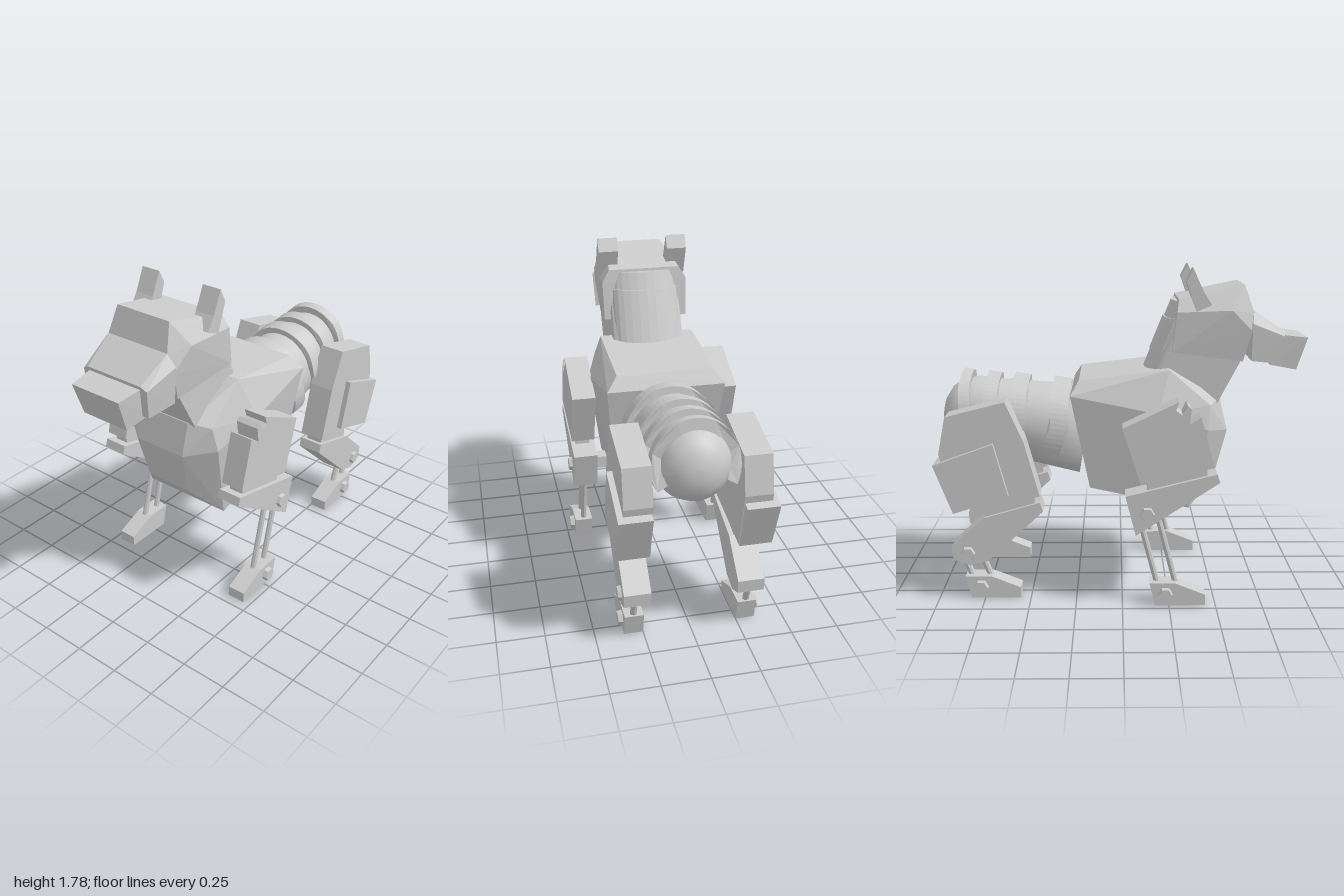
import * as THREE from 'three';
import { ConvexGeometry } from 'three/addons/geometries/ConvexGeometry.js';

const flat = new THREE.MeshStandardMaterial({ color: 0xcccccc, flatShading: true });
const smooth = new THREE.MeshStandardMaterial({ color: 0xcccccc });

export function createModel() {
  const model = new THREE.Group();
  model.name = 'robotHound';

  const add = (name, geometry, material = flat) => {
    const mesh = new THREE.Mesh(geometry, material);
    mesh.name = name;
    model.add(mesh);
    return mesh;
  };

  // Convex block from half its corners (x, y, z), mirrored across x = 0
  const block = (name, half) => add(name, new ConvexGeometry(
    half.flatMap(([x, y, z]) => [new THREE.Vector3(x, y, z), new THREE.Vector3(-x, y, z)])));

  // Side outline (z, y) extruded from x0 to x1
  const slab = (name, outline, x0, x1) => {
    const shape = new THREE.Shape(outline.map(([z, y]) => new THREE.Vector2(z, y)));
    const g = new THREE.ExtrudeGeometry(shape, { depth: x1 - x0, bevelEnabled: false });
    g.rotateY(-Math.PI / 2).translate(x1, 0, 0);
    return add(name, g);
  };
  // The same slab on the left and right
  const pair = (name, outline, x0, x1) => {
    slab(name + 'Left', outline, x0, x1);
    slab(name + 'Right', outline, -x1, -x0);
  };

  const rod = (name, a, b, radius, sides = 8) => {
    const p = new THREE.Vector3(...a), q = new THREE.Vector3(...b);
    const mesh = add(name, new THREE.CylinderGeometry(radius, radius, p.distanceTo(q), sides));
    mesh.position.copy(p).add(q).multiplyScalar(0.5);
    mesh.quaternion.setFromUnitVectors(new THREE.Vector3(0, 1, 0), q.sub(p).normalize());
  };

  // Hexagonal bolt heads through the sides
  const bolts = (name, z, y, x0, x1) => {
    for (const s of [1, -1]) {
      const g = new THREE.CylinderGeometry(0.035, 0.045, x1 - x0, 6);
      g.rotateZ(-s * Math.PI / 2).translate(s * (x0 + x1) / 2, y, z);
      add(name, g);
    }
  };

  // Chest
  block('chest', [
    [0.26, 1.195, -0.23], [0.265, 1.25, 0.25],
    [0.32, 1.12, -0.275], [0.35, 1.03, 0.19],
    [0.16, 1.08, 0.53], [0.27, 1.06, 0.47], [0.3, 0.93, 0.46],
    [0.155, 0.9, 0.575], [0.13, 0.65, 0.515],
    [0.26, 0.485, 0.365], [0.27, 0.605, -0.175],
  ]);

  // Abdomen with a rounded rump, turned along a slightly rising axis
  const tilt = Math.atan(0.16);
  const abdomen = new THREE.Group();
  abdomen.name = 'abdomen';
  abdomen.position.set(0, 0.87, -0.2);
  abdomen.rotation.x = tilt;
  model.add(abdomen);
  const profile = [[0, 0], [0.25, 0], [0.23, 0.25], [0.21, 0.5], [0.205, 0.63],
    [0.18, 0.71], [0.13, 0.765], [0.06, 0.795], [0, 0.797]];
  const trunk = new THREE.LatheGeometry(profile.map(([r, h]) => new THREE.Vector2(r, h)), 32);
  trunk.rotateX(-Math.PI / 2).scale(0.95, 1, 1);
  const trunkMesh = new THREE.Mesh(trunk, smooth);
  trunkMesh.name = 'trunk';
  abdomen.add(trunkMesh);

  // Curved armour bands over the back, stepped along z at the flanks
  [[0.19, 0.1, 0.27], [0.405, 0.085, 0.256], [0.55, 0.07, 0.244], [0.69, 0.055, 0.236]]
    .forEach(([d, width, r], i) => {
      const low = -0.5, shape = new THREE.Shape();
      shape.absarc(0, 0, r, low, Math.PI - low, false);
      shape.absarc(0, 0, r - 0.06, Math.PI - low, low, true);
      const g = new THREE.ExtrudeGeometry(shape, { depth: width, bevelEnabled: false, curveSegments: 20 });
      g.translate(0, 0, -d);
      const p = g.attributes.position;
      for (let k = 0; k < p.count; k++) {
        const side = Math.max(0, 1 - Math.abs(p.getY(k) - 0.04) / 0.12);
        p.setZ(k, p.getZ(k) + 0.025 * side - 0.03);
      }
      g.scale(0.95, 1, 1);
      g.computeVertexNormals();
      const band = new THREE.Mesh(g, flat);
      band.name = 'backBand' + (i + 1);
      abdomen.add(band);
    });

  // Neck with a curved nape, and three overlapping nape plates
  const arc = (halfWidth, y, z, bulge) => {
    const points = [];
    for (let i = 0; i <= 6; i++) {
      const a = (i / 6) * Math.PI / 2;
      points.push([halfWidth * Math.sin(a), y, z - bulge * Math.cos(a)]);
    }
    return points;
  };
  block('neck', [
    ...arc(0.2, 1.58, 0.36, 0.06), ...arc(0.2, 1.15, 0.16, 0.06),
    [0.2, 1.3, 0.64], [0.2, 1.05, 0.51], [0.19, 1.5, 0.6],
  ]);
  [[1.6, 1.42, 0.345], [1.51, 1.33, 0.3], [1.345, 1.21, 0.24]].forEach(([top, bottom, z], i) =>
    block('napePlate' + (i + 1), [
      ...arc(0.185, top, z, 0.075), ...arc(0.185, bottom, z - (top - bottom) * 0.4, 0.075),
      [0.185, top, z + 0.06], [0.185, bottom, z + 0.04],
    ]));

  // Head, cheeks and muzzle
  block('head', [
    [0.165, 1.69, 0.65], [0.2, 1.615, 0.3], [0.24, 1.55, 0.29], [0.24, 1.56, 0.58],
    [0.235, 1.34, 0.265], [0.2, 1.285, 0.645], [0.22, 1.45, 0.69], [0.19, 1.545, 0.7],
  ]);
  block('cheeks', [
    [0.19, 1.55, 0.7], [0.235, 1.49, 0.69], [0.22, 1.29, 0.69],
    [0.17, 1.44, 0.87], [0.205, 1.42, 0.865], [0.195, 1.27, 0.85],
  ]);
  block('muzzle', [
    [0.17, 1.43, 0.8], [0.16, 1.26, 0.8], [0.15, 1.405, 1.0], [0.14, 1.23, 0.945],
  ]);

  // Ears
  pair('ear', [[0.37, 1.78], [0.335, 1.71], [0.39, 1.555], [0.47, 1.59], [0.425, 1.66]], 0.14, 0.25);

  // Front legs
  pair('shoulder', [[0.48, 0.77], [0.405, 1.04], [0.345, 1.0], [0.355, 1.08], [0.335, 1.1],
    [0.31, 1.05], [0.275, 1.075], [0.29, 1.12], [0.0, 0.98], [0.095, 0.68]], 0.34, 0.47);
  pair('elbowLink', [[0.44, 0.79], [0.45, 0.66], [0.13, 0.58], [0.13, 0.72]], 0.365, 0.445);
  pair('forearm', [[0.495, 0.735], [0.51, 0.69], [0.07, 0.4], [0.015, 0.615]], 0.335, 0.47);
  pair('elbowAxle', [[0.18, 0.56], [0.18, 0.49], [0.1, 0.49], [0.1, 0.56]], 0.24, 0.35);
  bolts('elbowBolt', 0.13, 0.52, 0.45, 0.49);

  // Hind legs
  pair('thigh', [[-0.615, 1.1], [-0.93, 1.02], [-0.97, 0.82], [-0.9, 0.51], [-0.44, 0.585],
    [-0.52, 0.885]], 0.225, 0.37);
  pair('thighPanel', [[-0.68, 0.88], [-1.0, 0.765], [-0.9, 0.5], [-0.605, 0.595]], 0.23, 0.4);
  pair('kneeLink', [[-0.47, 0.6], [-0.47, 0.5], [-0.74, 0.43], [-0.74, 0.56]], 0.25, 0.345);
  pair('hock', [[-0.44, 0.55], [-0.425, 0.5], [-0.725, 0.22], [-0.825, 0.195], [-0.915, 0.23],
    [-0.92, 0.3], [-0.74, 0.465]], 0.225, 0.365);
  bolts('hockBolt', -0.835, 0.265, 0.345, 0.385);

  // Feet and the twin rods that carry them
  const foot = (name, shift, x0, x1) => {
    pair(name, [[0.445, 0], [0.445, 0.06], [0.285, 0.125], [0.145, 0.125], [0.175, 0]]
      .map(([z, y]) => [z + shift, y]), x0, x1);
    bolts(name + 'Bolt', 0.23 + shift, 0.065, x1 - 0.02, x1 + 0.025);
  };
  foot('frontFoot', 0, 0.36, 0.46);
  foot('hindFoot', -1, 0.25, 0.35);
  for (const s of [1, -1]) {
    for (const dz of [0, 0.1]) {
      rod('frontShin', [s * 0.407, 0.52, 0.08 + dz], [s * 0.407, 0.08, 0.195 + dz], 0.016);
      rod('hindShin', [s * 0.3, 0.27, -0.88 + dz], [s * 0.3, 0.08, -0.81 + dz], 0.018);
    }
  }
  return model;
}
